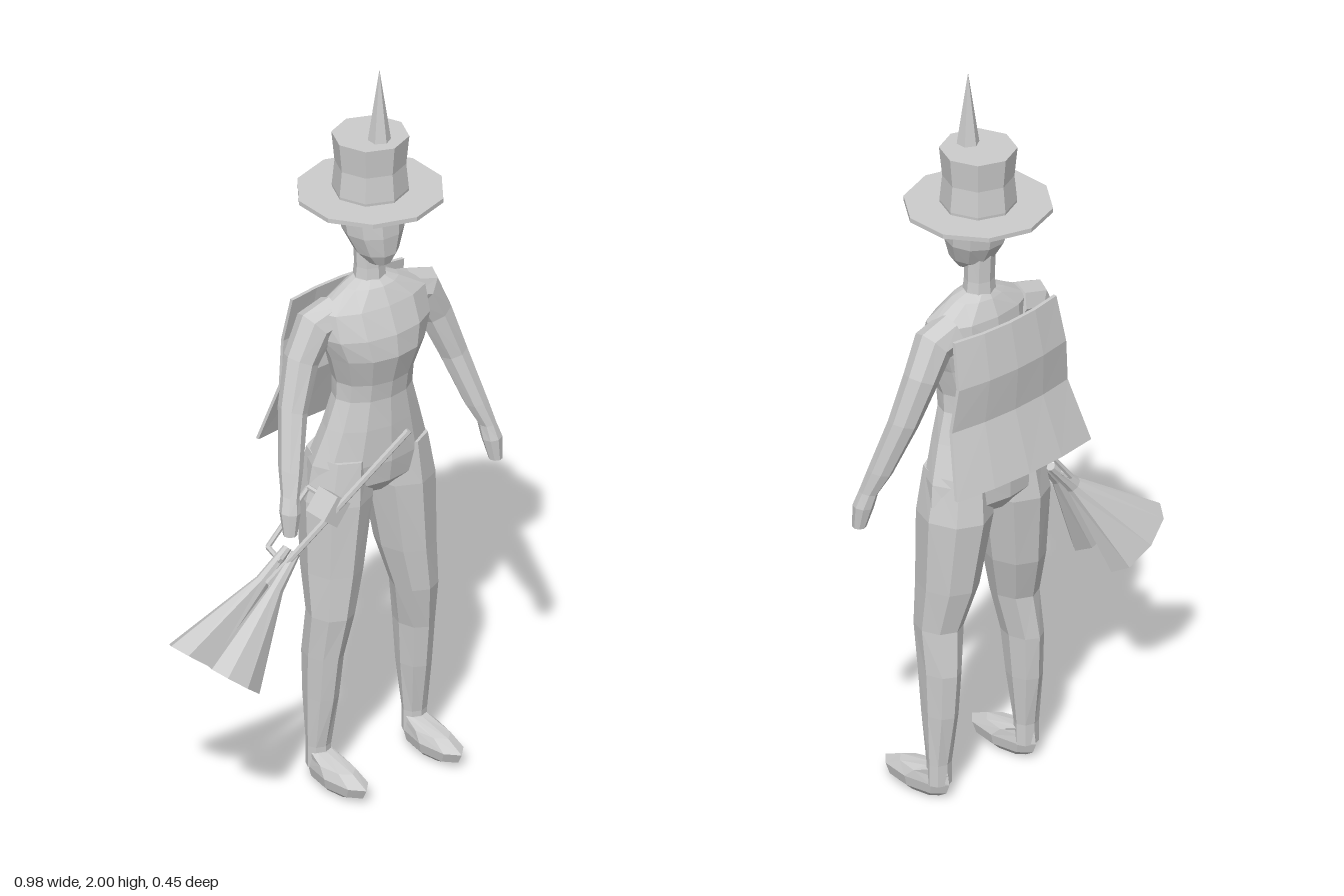
import * as THREE from 'three';

const CX = 0.137; // the figure's own centre line
const grey = new THREE.MeshStandardMaterial({ color: 0xcccccc });
grey.name = 'light grey';

// Faceted copy of a geometry
function facet(geometry) {
  const g = geometry.index ? geometry.toNonIndexed() : geometry;
  g.computeVertexNormals();
  return g;
}

function add(group, name, geometry, x = 0, y = 0, z = 0) {
  const mesh = new THREE.Mesh(facet(geometry), grey);
  mesh.name = name;
  mesh.position.set(x, y, z);
  group.add(mesh);
  return mesh;
}

// Closed skin over elliptical rings [x, y, z, a, b, tilt], top to bottom; side -1 mirrors it
function loft(rings, sides = 8, side = 1) {
  const pos = [], idx = [];
  for (const [x, y, z, a, b, tilt = 0] of rings) {
    const t = THREE.MathUtils.degToRad(tilt);
    for (let i = 0; i < sides; i++) {
      const u = a * Math.cos(i / sides * Math.PI * 2), v = b * Math.sin(i / sides * Math.PI * 2);
      pos.push((x + u * Math.cos(t)) * side, y + u * Math.sin(t), z + v);
    }
  }
  const tri = (a, b, c) => (side > 0 ? idx.push(a, b, c) : idx.push(a, c, b));
  const last = (rings.length - 1) * sides, mid = rings.length * sides;
  for (const [x, y, z] of [rings[0], rings[rings.length - 1]]) pos.push(x * side, y, z);
  for (let i = 0; i < sides; i++) {
    const j = (i + 1) % sides;
    for (let k = 0; k < last; k += sides) {
      tri(k + i, k + j, k + sides + i);
      tri(k + j, k + sides + j, k + sides + i);
    }
    tri(mid, j, i);
    tri(mid + 1, last + i, last + j);
  }
  const g = new THREE.BufferGeometry();
  g.setAttribute('position', new THREE.Float32BufferAttribute(pos, 3));
  g.setIndex(idx);
  return g;
}

// Upright section given by offset, height, half width, front z and back z
const ring = ([d, y, hw, front, back]) => [d, y, (front + back) / 2, hw, (front - back) / 2];

// Straight rod between two points
function rod(group, name, from, to, radius) {
  const a = new THREE.Vector3(...from), b = new THREE.Vector3(...to);
  const mesh = add(group, name, new THREE.CylinderGeometry(radius, radius, a.distanceTo(b), 6));
  mesh.position.copy(a).add(b).multiplyScalar(0.5);
  mesh.quaternion.setFromUnitVectors(new THREE.Vector3(0, 1, 0), b.sub(a).normalize());
}

function buildBody() {
  const body = new THREE.Group();
  body.name = 'body';
  body.position.x = CX;
  add(body, 'torso', loft([
    [0, 1.4, 0.045, 0, -0.075], [0, 1.385, 0.08, 0.02, -0.085], [0, 1.34, 0.165, 0.045, -0.105],
    [0, 1.27, 0.165, 0.075, -0.115], [0, 1.21, 0.14, 0.082, -0.113], [0, 1.13, 0.114, 0.058, -0.108],
    [0, 1.08, 0.114, 0.05, -0.106], [0, 1.0, 0.14, 0.053, -0.12], [0, 0.9, 0.175, 0.054, -0.15],
    [0, 0.84, 0.183, 0.045, -0.15], [0, 0.8, 0.07, 0.01, -0.12],
  ].map(ring), 12));
  add(body, 'neck', loft([[0, 1.52, 0.04, 0, -0.08], [0, 1.43, 0.04, 0, -0.076],
    [0, 1.37, 0.047, 0.005, -0.08]].map(ring)));
  add(body, 'head', loft([
    [0, 1.64, 0.083, 0.045, -0.115], [0, 1.6, 0.086, 0.052, -0.115], [0, 1.54, 0.08, 0.055, -0.103],
    [0, 1.485, 0.056, 0.05, -0.07], [0, 1.455, 0.03, 0.036, -0.03],
  ].map(ring), 10));

  for (const [side, word] of [[1, 'left'], [-1, 'right']]) {
    add(body, word + ' leg', loft([
      [0.09, 0.92, 0.075, 0.045, -0.14], [0.1, 0.8, 0.092, 0.052, -0.156],
      [0.117, 0.6, 0.075, 0.045, -0.13], [0.133, 0.48, 0.059, 0.04, -0.095],
      [0.145, 0.36, 0.047, 0.02, -0.107], [0.148, 0.24, 0.042, 0.005, -0.1],
      [0.153, 0.1, 0.034, -0.02, -0.08], [0.153, 0.04, 0.034, -0.02, -0.08],
    ].map(ring), 8, side));
    add(body, word + ' foot', loft([
      [0.152, 0.085, 0.03, -0.015, -0.078], [0.152, 0.066, 0.038, 0.09, -0.082],
      [0.152, 0.042, 0.045, 0.145, -0.086], [0.152, 0.015, 0.04, 0.13, -0.075],
      [0.152, 0, 0.025, 0.09, -0.05],
    ].map(ring), 8, side));
    // Arm and hand, curving out and forward
    add(body, word + ' arm', loft([
      [0.11, 1.315, -0.045, 0.055, 0.05, 75], [0.17, 1.3, -0.045, 0.057, 0.05, 50],
      [0.212, 1.22, -0.045, 0.047, 0.045, 25], [0.255, 1.1, -0.025, 0.038, 0.04, 18],
      [0.295, 0.96, 0.018, 0.03, 0.034, 12], [0.314, 0.9, 0.04, 0.022, 0.027, 8],
      [0.322, 0.86, 0.05, 0.027, 0.028, 5], [0.328, 0.8, 0.058, 0.018, 0.018],
    ], 8, side));
  }
  return body;
}

function buildHat() {
  const hat = new THREE.Group();
  hat.name = 'hat';
  hat.position.set(CX, 0, -0.034);
  add(hat, 'brim', new THREE.CylinderGeometry(0.191, 0.191, 0.012, 10), 0, 1.637);
  const profile = [[0.096, 1.63], [0.098, 1.65], [0.091, 1.72], [0.099, 1.8], [0, 1.8]];
  add(hat, 'crown', new THREE.LatheGeometry(profile.map(p => new THREE.Vector2(...p)), 8));
  add(hat, 'spike', new THREE.ConeGeometry(0.031, 0.21, 6), 0, 1.895, 0.037);
  return hat;
}

// Thin cape, bowed round the back and flaring towards the hem
function buildCape() {
  const rows = [[0.935, -0.215, 0.235], [1.1, -0.163, 0.203], [1.22, -0.173, 0.188], [1.343, -0.148, 0.178]];
  const g = new THREE.BoxGeometry(2, 3, 0.01, 4, 3, 1);
  const p = g.attributes.position;
  for (let i = 0; i < p.count; i++) {
    const [y, z, half] = rows[Math.round(p.getY(i) + 1.5)], u = p.getX(i);
    p.setXYZ(i, CX + u * half, y, z + 0.02 * u * u + p.getZ(i));
  }
  return g;
}

function buildBroom() {
  const broom = new THREE.Group();
  broom.name = 'broom';
  rod(broom, 'handle', [0.065, 1.08, 0.215], [-0.24, 0.665, 0.03], 0.009);
  const block = add(broom, 'grip block', new THREE.BoxGeometry(0.052, 0.07, 0.075), -0.093, 0.86, 0.088);
  block.rotation.z = -0.66;
  // Small frame behind the grip
  rod(broom, 'frame bar', [-0.08, 0.87, 0.08], [-0.08, 0.87, -0.01], 0.007);
  rod(broom, 'frame side', [-0.08, 0.87, -0.01], [-0.19, 0.725, -0.034], 0.007);
  rod(broom, 'frame end', [-0.19, 0.725, -0.034], [-0.2, 0.715, 0.03], 0.007);
  // Two flaring bundles with a slot between them
  add(broom, 'rear bristles', loft([[-0.17, 0.74, 0.02, 0.012, 0.012, -40],
    [-0.24, 0.665, 0.01, 0.022, 0.016, -40], [-0.405, 0.47, -0.045, 0.108, 0.056, -38]]));
  add(broom, 'front bristles', loft([[-0.17, 0.74, 0.055, 0.012, 0.012, -40],
    [-0.24, 0.665, 0.065, 0.022, 0.016, -40], [-0.395, 0.465, 0.09, 0.09, 0.056, -38]]));
  return broom;
}

export function createModel() {
  const model = new THREE.Group();
  model.name = 'figure with hat and broom';
  model.add(buildBody(), buildHat(), buildBroom());
  add(model, 'cape', buildCape());
  return model;
}
